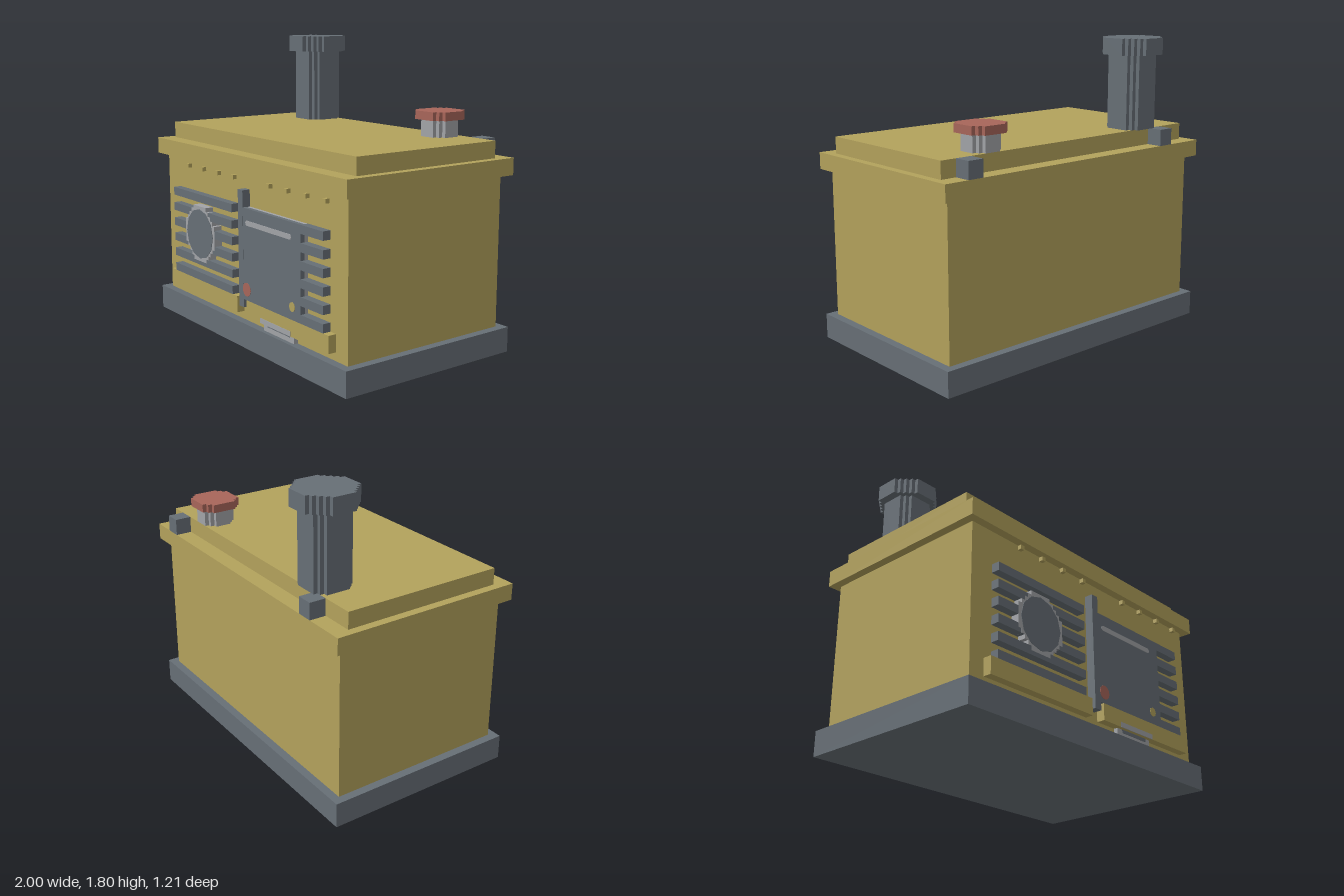
import * as THREE from 'three';

export function createModel() {
  const model = new THREE.Group();
  model.name = 'machine';
  const paint = (name, color) => {
    const m = new THREE.MeshStandardMaterial({ color });
    m.name = name;
    return m;
  };
  const yellow = paint('ochre', 0xb3a25c);
  const dark = paint('slate', 0x676f76);
  const light = paint('lightGrey', 0xa2a4a8);
  const red = paint('brickRed', 0xa8665a);

  const add = (name, geometry, material) => {
    const mesh = new THREE.Mesh(geometry, material);
    mesh.name = name;
    model.add(mesh);
    return mesh;
  };
  // Box given by its lower and upper limits on each axis
  const box = (name, mat, x0, x1, y0, y1, z0, z1) => {
    const mesh = add(name, new THREE.BoxGeometry(x1 - x0, y1 - y0, z1 - z0), mat);
    mesh.position.set((x0 + x1) / 2, (y0 + y1) / 2, (z0 + z1) / 2);
    return mesh;
  };
  // Octagon with stair-stepped diagonals: n = half width, f = half flat side, in cells
  const steppedPrism = (n, f, depth) => {
    const cell = 0.025, quarter = [];
    for (let i = 0; i < n - f; i++) quarter.push([n - i, f + i], [n - i - 1, f + i]);
    quarter.push([f, n]);
    const points = [];
    for (let q = 0; q < 4; q++) {
      for (let [x, y] of quarter) {
        for (let k = 0; k < q; k++) [x, y] = [-y, x];
        points.push(new THREE.Vector2(x * cell, y * cell));
      }
    }
    return new THREE.ExtrudeGeometry(new THREE.Shape(points), { depth, bevelEnabled: false });
  };
  const column = (name, mat, n, f, x, y0, y1, z) => {
    const mesh = add(name, steppedPrism(n, f, y1 - y0).rotateX(-Math.PI / 2), mat);
    mesh.position.set(x, y0, z);
  };
  // Thin round plate facing forward
  const disc = (name, mat, r, x, y, z, sides) => {
    const mesh = add(name, new THREE.CylinderGeometry(r, r, 0.004, sides).rotateX(Math.PI / 2), mat);
    mesh.position.set(x, y, z);
  };

  // Housing
  box('base', dark, -1, 1, 0, 0.15, -0.6, 0.6);
  box('body', yellow, -0.95, 0.95, 0.15, 1.05, -0.55, 0.55);
  box('lidRim', yellow, -1, 1, 1.05, 1.15, -0.6, 0.6);
  box('lidTop', yellow, -0.95, 0.95, 1.15, 1.25, -0.5, 0.5);
  box('rightHinge', dark, -0.75, -0.65, 1.15, 1.25, -0.6, -0.5);
  box('leftHinge', dark, 0.75, 0.85, 1.15, 1.25, -0.6, -0.5);

  // Chimney and filler cap
  column('chimneyStack', dark, 5, 3, -0.6, 1.25, 1.7, -0.4);
  column('chimneyCap', dark, 7, 3, -0.6, 1.7, 1.8, -0.4);
  column('fillerNeck', light, 4, 2, 0.6, 1.25, 1.35, -0.4);
  column('fillerCap', red, 5, 3, 0.6, 1.35, 1.4, -0.4);

  // Ventilation slats on both halves of the front
  for (let i = 0; i < 6; i++) {
    const y = 0.3 + i * 0.1;
    box('rightSlat', dark, -0.8, -0.1, y, y + 0.05, 0.55, 0.6);
    box('leftSlat', dark, 0.6, 0.8, y, y + 0.05, 0.55, 0.6);
  }

  // Fan with its ring
  add('fanRing', steppedPrism(7, 3, 0.052), light).position.set(-0.475, 0.6, 0.55);
  disc('fanHub', dark, 0.157, -0.475, 0.6, 0.603, 12);

  // Door with its backing, hinge post and fittings
  box('doorBacking', light, 0.025, 0.6, 0.3, 0.849, 0.55, 0.573);
  box('door', dark, 0.025, 0.6, 0.3, 0.85, 0.573, 0.6);
  box('doorPost', dark, -0.025, 0.025, 0.25, 0.95, 0.55, 0.601);
  box('doorStrip', light, 0.07, 0.5, 0.75, 0.78, 0.598, 0.603);
  disc('doorStripEnd', light, 0.015, 0.07, 0.765, 0.601, 12);
  disc('doorStripEnd', light, 0.015, 0.5, 0.765, 0.601, 12);
  disc('redButton', red, 0.041, 0.06, 0.365, 0.601, 16);
  disc('yellowButton', yellow, 0.028, 0.52, 0.375, 0.601, 8);

  // Lower ledges, latch plate and slot
  box('rightLedge', yellow, -0.85, -0.05, 0.2, 0.3, 0.55, 0.6);
  box('leftLedge', yellow, 0.05, 0.85, 0.2, 0.3, 0.55, 0.6);
  box('latchPlate', light, 0.2, 0.5, 0.15, 0.2, 0.55, 0.575);
  box('latchLip', light, 0.2, 0.5, 0.2, 0.23, 0.598, 0.602);
  box('latchSlot', dark, 0.24, 0.46, 0.18, 0.2, 0.573, 0.578);

  // Rows of studs under the lid
  for (const start of [-0.615, 0.285]) {
    for (let i = 0; i < 4; i++) {
      const x = start + i * 0.175;
      box('stud', yellow, x - 0.0125, x + 0.0125, 1, 1.025, 0.575, 0.6);
    }
  }
  return model;
}
